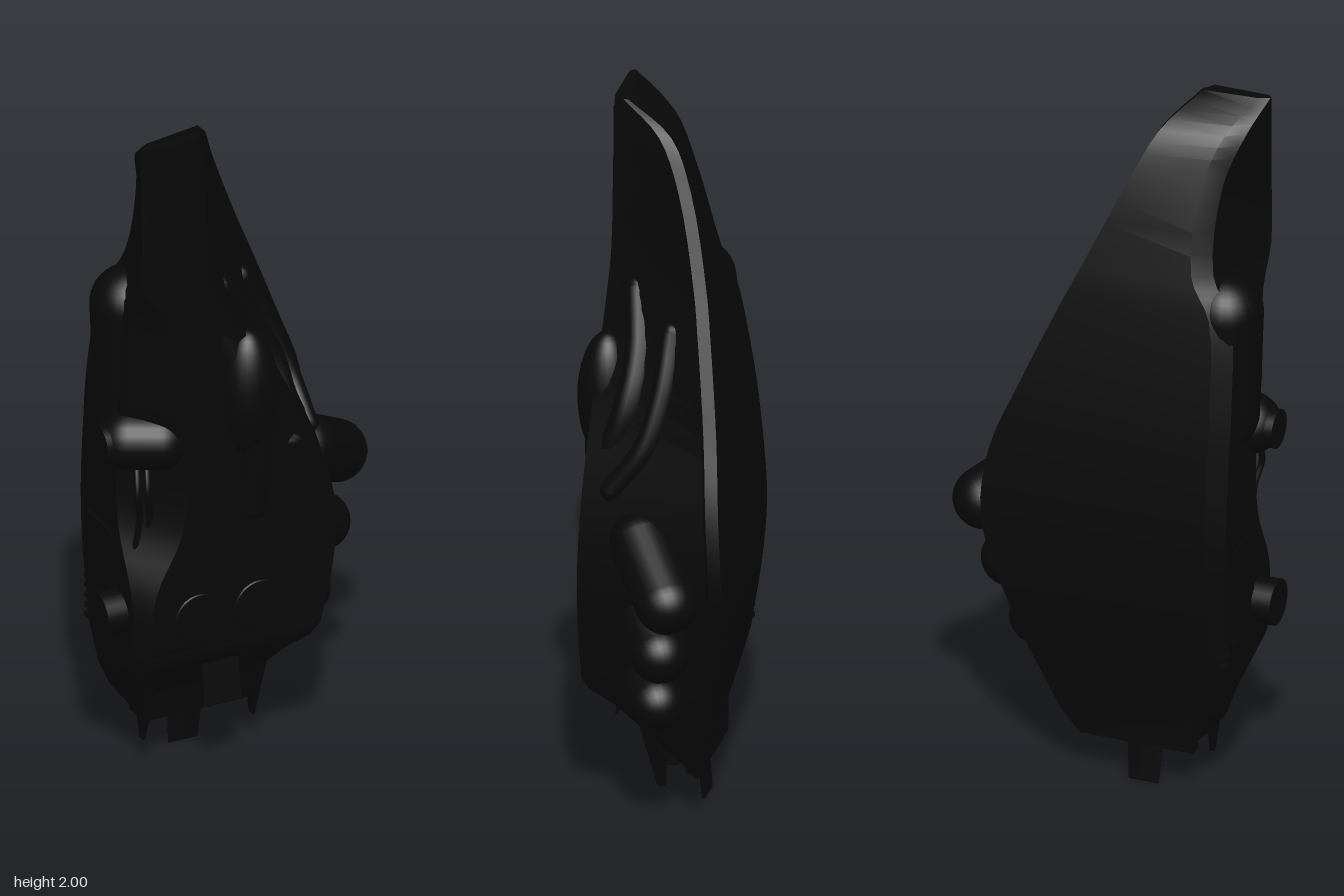
import * as THREE from 'three';
import { toCreasedNormals } from 'three/addons/utils/BufferGeometryUtils.js';

const V = (x, y, z) => new THREE.Vector3(x, y, z);
const hullBlack = new THREE.MeshStandardMaterial({ color: 0x080808 });

// Hull rings, top to bottom:
// front y, back y, left x, left chamfer, front z, front right x, right x, back z, back left x
const RINGS = [
  [2.0, 2.0, -0.37, 0.01, 0.18, -0.2, -0.18, 0.14, -0.34],
  [1.93, 1.93, -0.37, 0.01, 0.18, -0.19, -0.11, 0.0, -0.29],
  [1.8, 1.8, -0.37, 0.01, 0.18, -0.18, -0.05, -0.07, -0.25],
  [1.56, 1.56, -0.37, 0.01, 0.18, -0.16, 0.055, -0.14, -0.25],
  [1.45, 1.45, -0.375, 0.08, 0.18, -0.11, 0.105, -0.163, -0.31],
  [1.2, 1.2, -0.38, 0.1, 0.18, 0.04, 0.212, -0.207, -0.33],
  [1.0, 1.0, -0.38, 0.14, 0.18, 0.15, 0.29, -0.232, -0.33],
  [0.8, 0.8, -0.38, 0.13, 0.18, 0.208, 0.31, -0.245, -0.33],
  [0.62, 0.62, -0.38, 0.05, 0.18, 0.205, 0.267, -0.233, -0.33],
  [0.43, 0.4, -0.375, 0.03, 0.18, 0.165, 0.19, -0.2, -0.33],
  [0.39, 0.28, -0.365, 0.02, 0.165, 0.14, 0.145, -0.17, -0.32],
  [0.33, 0.2, -0.34, 0.02, 0.1, 0.1, 0.115, -0.15, -0.3],
  [0.2, 0.12, -0.29, 0.01, -0.02, 0.05, 0.07, -0.12, -0.26],
];

function ringPoints([yf, yb, xl, c, zf, xf, xr, zb, xb]) {
  const d = Math.min(0.035, (zf - zb) * 0.3);
  const flat = [
    [xl, zf - c], [xl + c, zf], [xf, zf], [xr - 0.012, zb + d + 0.01],
    [xr, zb + d], [xr - 0.003, zb], [xb, zb + d], [Math.max(xl, xb - 0.05), zb + 2 * d],
  ];
  return flat.map(([x, z]) => V(x, yb + (yf - yb) * (z - zb) / (zf - zb), z));
}

function hullGeometry() {
  // Smooth the long edges between the main rings; the tail stays faceted
  const base = RINGS.map(ringPoints), n = base[0].length, last = 9, steps = 4;
  const edges = base[0].map((_, i) => new THREE.CatmullRomCurve3(base.slice(0, last + 1).map((r) => r[i])));
  const rings = [];
  for (let k = 0; k <= last * steps; k++) rings.push(edges.map((e) => e.getPoint(k / (last * steps))));
  rings.push(...base.slice(last + 1));

  const pts = [];
  for (let r = 0; r < rings.length - 1; r++) {
    for (let i = 0; i < n; i++) {
      const a = rings[r], b = rings[r + 1], j = (i + 1) % n;
      pts.push(a[i], b[i], b[j], a[i], b[j], a[j]);
    }
  }
  const top = rings[0], low = rings[rings.length - 1];
  for (let i = 1; i < n - 1; i++) pts.push(top[0], top[i], top[i + 1], low[0], low[i + 1], low[i]);
  return toCreasedNormals(new THREE.BufferGeometry().setFromPoints(pts), 0.45);
}

export function createModel() {
  const model = new THREE.Group();
  const add = (name, geometry, x = 0, y = 0, z = 0) => {
    const mesh = new THREE.Mesh(geometry, hullBlack);
    mesh.name = name;
    mesh.position.set(x, y, z);
    model.add(mesh);
    return mesh;
  };
  const capsule = (name, a, b, r) => {
    const mid = a.clone().add(b).multiplyScalar(0.5), dir = b.clone().sub(a);
    const m = add(name, new THREE.CapsuleGeometry(r, dir.length(), 10, 24), mid.x, mid.y, mid.z);
    m.quaternion.setFromUnitVectors(V(0, 1, 0), dir.normalize());
  };
  const pipe = (name, points, r) => {
    add(name, new THREE.TubeGeometry(new THREE.CatmullRomCurve3(points), 40, r, 12));
    for (const p of [points[0], points[points.length - 1]]) {
      add(name + 'End', new THREE.SphereGeometry(r, 12, 8), p.x, p.y, p.z);
    }
  };
  const box = (name, w, h, d, x, y, z, tilt = 0) => {
    add(name, new THREE.BoxGeometry(w, h, d), x, y, z).rotation.x = tilt;
  };

  add('hull', hullGeometry());

  // Three rounded pods on the left flank
  capsule('upperPod', V(0.21, 0.875, 0.0), V(0.352, 0.772, -0.105), 0.087);
  capsule('middlePod', V(0.17, 0.65, 0.0), V(0.29, 0.588, -0.07), 0.081);
  capsule('lowerPod', V(0.12, 0.45, 0.01), V(0.22, 0.412, -0.045), 0.079);

  // Winding ducts across the front
  pipe('innerDuct', [V(-0.18, 1.53, 0.12), V(-0.13, 1.38, 0.135), V(-0.05, 1.22, 0.165),
    V(-0.03, 1.05, 0.175), V(-0.03, 0.83, 0.155)], 0.045);
  add('ductSwell', new THREE.SphereGeometry(1, 28, 20), -0.045, 1.18, 0.16).scale.set(0.085, 0.19, 0.082);
  pipe('outerDuct', [V(-0.1, 1.48, 0.085), V(0.0, 1.34, 0.06), V(0.07, 1.2, 0.075),
    V(0.09, 1.0, 0.145)], 0.042);
  pipe('sideDuct', [V(0.03, 1.42, -0.04), V(0.1, 1.27, -0.03), V(0.15, 1.12, 0.01),
    V(0.165, 1.0, 0.095)], 0.033);

  // Raised strip beside the nose
  box('noseStrip', 0.012, 0.62, 0.008, -0.2, 1.66, 0.178);

  // Swollen right shoulder, knobs and cables
  capsule('shoulder', V(-0.312, 1.43, -0.02), V(-0.3, 1.12, -0.02), 0.107);
  capsule('upperKnob', V(-0.355, 1.06, 0.06), V(-0.28, 1.06, 0.1), 0.085);
  const knob = (r, x, y, z) => {
    add('sideKnob', new THREE.CylinderGeometry(r, r * 0.9, 0.16, 24), x, y, z).rotation.z = Math.PI / 2;
  };
  knob(0.055, -0.36, 1.06, 0.055);
  knob(0.065, -0.36, 0.535, 0.05);
  for (const s of [0, 0.03]) {
    pipe('cable', [V(-0.345 + s, 1.02, 0.09), V(-0.36 + s, 0.92, 0.13), V(-0.345 + s, 0.84, 0.11),
      V(-0.35 + s, 0.72, 0.09)], 0.009);
  }

  // Round hatches and trim on the lower front
  for (const x of [-0.2, -0.02]) {
    add('hatch', new THREE.CylinderGeometry(0.07, 0.075, 0.008, 32), x, 0.53, 0.18).rotation.x = Math.PI / 2;
  }
  box('frontBand', 0.5, 0.012, 0.008, -0.1, 0.43, 0.18);
  box('sideTrim', 0.012, 0.2, 0.008, -0.3, 0.53, 0.18);
  box('sidePanel', 0.008, 0.28, 0.14, -0.381, 0.62, -0.06);

  // Vent slats on the rear right corner
  for (let i = 0; i < 6; i++) box('ventSlat', 0.02, 0.012, 0.09, -0.365, 0.42 + i * 0.03, -0.12);

  // Tail blocks, thruster plates and fins
  box('tailBlock', 0.3, 0.12, 0.05, -0.11, 0.2, -0.025, 0.12);
  box('rearTailBlock', 0.3, 0.1, 0.04, -0.11, 0.17, -0.1);
  box('thrusterPlate', 0.11, 0.13, 0.006, -0.11, 0.295, 0.13, -0.15);
  const tail = add('tailPlate', new THREE.CylinderGeometry(0.078, 0.06, 0.18, 4, 1), -0.11, 0.09, -0.092);
  tail.geometry.rotateY(Math.PI / 4).scale(1, 1, 0.08);
  tail.rotation.x = 0.1;
  for (const x of [-0.275, 0.055]) {
    const fin = add('tailFin', new THREE.CylinderGeometry(0.06, 0.015, 0.2, 4), x, 0.185, -0.005);
    fin.geometry.rotateY(Math.PI / 4).scale(0.4, 1, 1);
    fin.rotation.x = 0.1;
  }
  return model;
}
